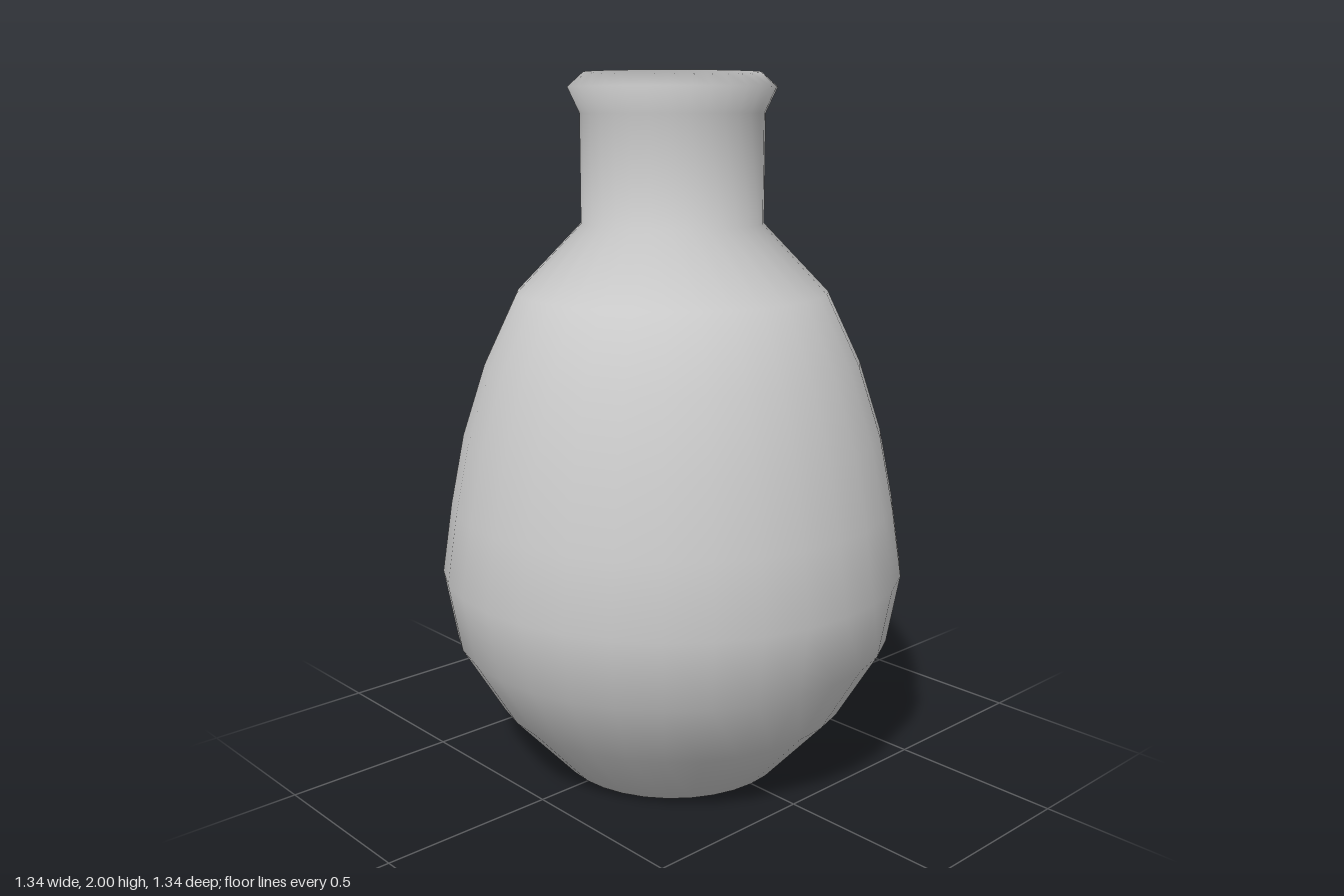
import * as THREE from 'three';

const SEGMENTS = 32;

// Revolve a list of [radius, height] pairs around y
function revolve(name, profile, material) {
  const points = profile.map(([r, y]) => new THREE.Vector2(r, y));
  const mesh = new THREE.Mesh(new THREE.LatheGeometry(points, SEGMENTS), material);
  mesh.name = name;
  return mesh;
}

export function createModel() {
  const group = new THREE.Group();
  group.name = 'vase';
  const clay = new THREE.MeshStandardMaterial({ color: 0xcccccc, side: THREE.DoubleSide });

  // One continuous wall: base, belly, shoulder, neck, flared lip, then down the inside
  group.add(revolve('vaseBody', [
    [0, 0], [0.335, 0],
    [0.517, 0.2], [0.635, 0.4], [0.67, 0.6], [0.64, 0.8],
    [0.6, 1.0], [0.535, 1.2], [0.44, 1.4],
    [0.257, 1.59], [0.257, 1.89],
    [0.29, 1.96], [0.245, 2.0],
    [0.2, 1.9], [0.2, 1.57],
    [0.39, 1.37], [0.48, 1.18], [0.545, 0.99], [0.585, 0.8],
    [0.612, 0.6], [0.58, 0.42], [0.47, 0.24],
    [0.31, 0.06], [0, 0.06],
  ], clay));

  return group;
}
